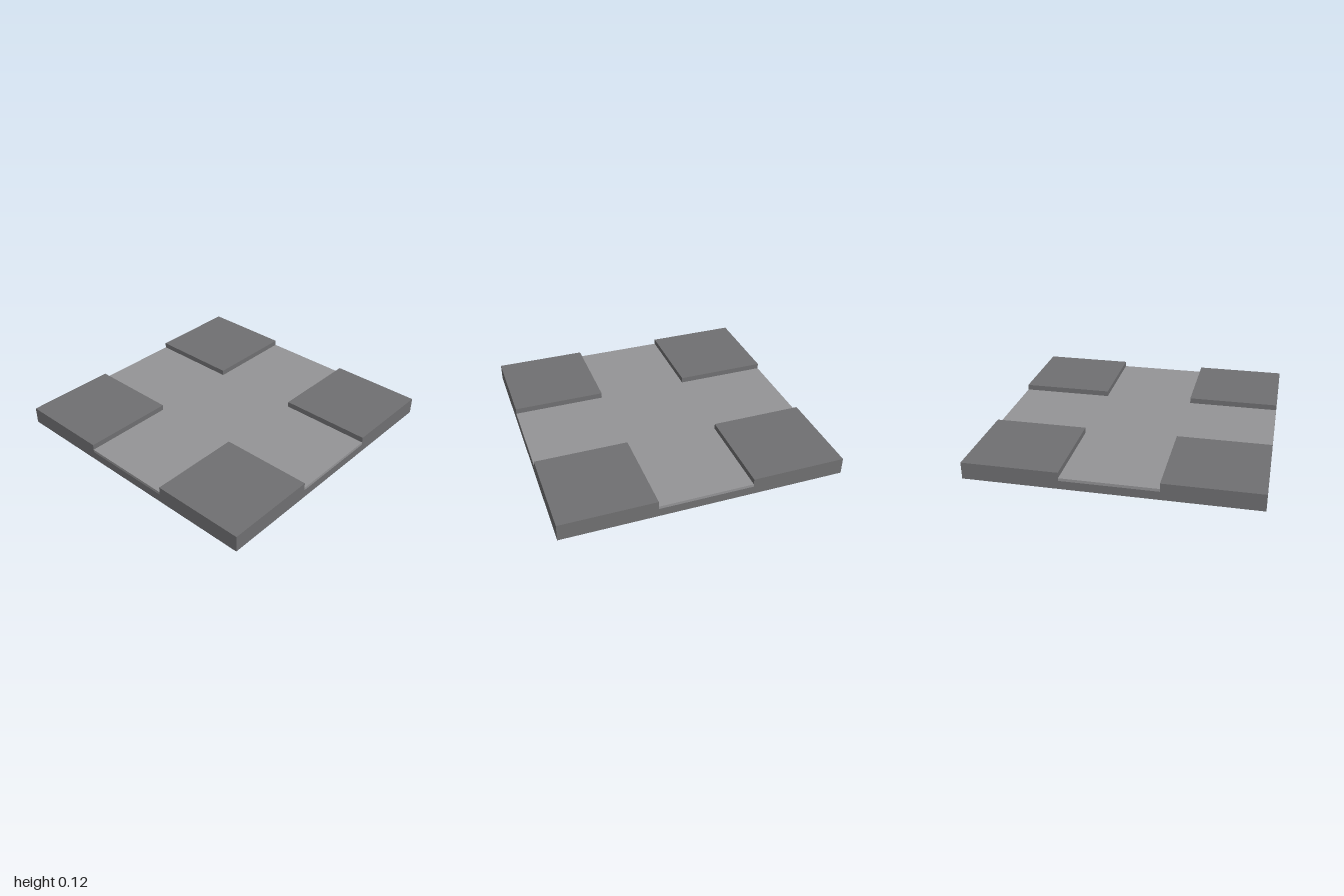
import * as THREE from 'three';

const EDGE = 1;          // half width of the tile
const ROAD = 1 / 3;      // half width of the roads
const BASE_H = 0.06;
const ROAD_H = 0.08;
const TOP_H = 0.12;

export function createModel() {
  const group = new THREE.Group();
  const stone = new THREE.MeshStandardMaterial({ color: 0x707072 });
  const asphalt = new THREE.MeshStandardMaterial({ color: 0x949496 });

  const add = (name, geometry, material, x, y, z) => {
    const mesh = new THREE.Mesh(geometry, material);
    mesh.name = name;
    mesh.position.set(x, y, z);
    group.add(mesh);
  };

  // Square foundation under the whole tile
  add('base', new THREE.BoxGeometry(2 * EDGE, BASE_H, 2 * EDGE), stone, 0, BASE_H / 2, 0);

  // Cross-shaped road surface, one thin slab
  const a = ROAD, b = EDGE;
  const cross = new THREE.Shape([
    [a, a], [a, b], [-a, b], [-a, a], [-b, a], [-b, -a],
    [-a, -a], [-a, -b], [a, -b], [a, -a], [b, -a], [b, a],
  ].map(([x, y]) => new THREE.Vector2(x, y)));
  const roadGeometry = new THREE.ExtrudeGeometry(cross, { depth: ROAD_H - BASE_H, bevelEnabled: false });
  roadGeometry.rotateX(-Math.PI / 2);
  add('crossroad', roadGeometry, asphalt, 0, BASE_H, 0);

  // Raised pavement blocks in the four corners
  const size = EDGE - ROAD;
  const blockGeometry = new THREE.BoxGeometry(size, TOP_H - BASE_H, size);
  for (const [sx, side] of [[1, 'Left'], [-1, 'Right']]) {
    for (const [sz, end] of [[1, 'front'], [-1, 'back']]) {
      add(`${end}${side}Pavement`, blockGeometry, stone,
        sx * (ROAD + size / 2), (BASE_H + TOP_H) / 2, sz * (ROAD + size / 2));
    }
  }
  return group;
}
